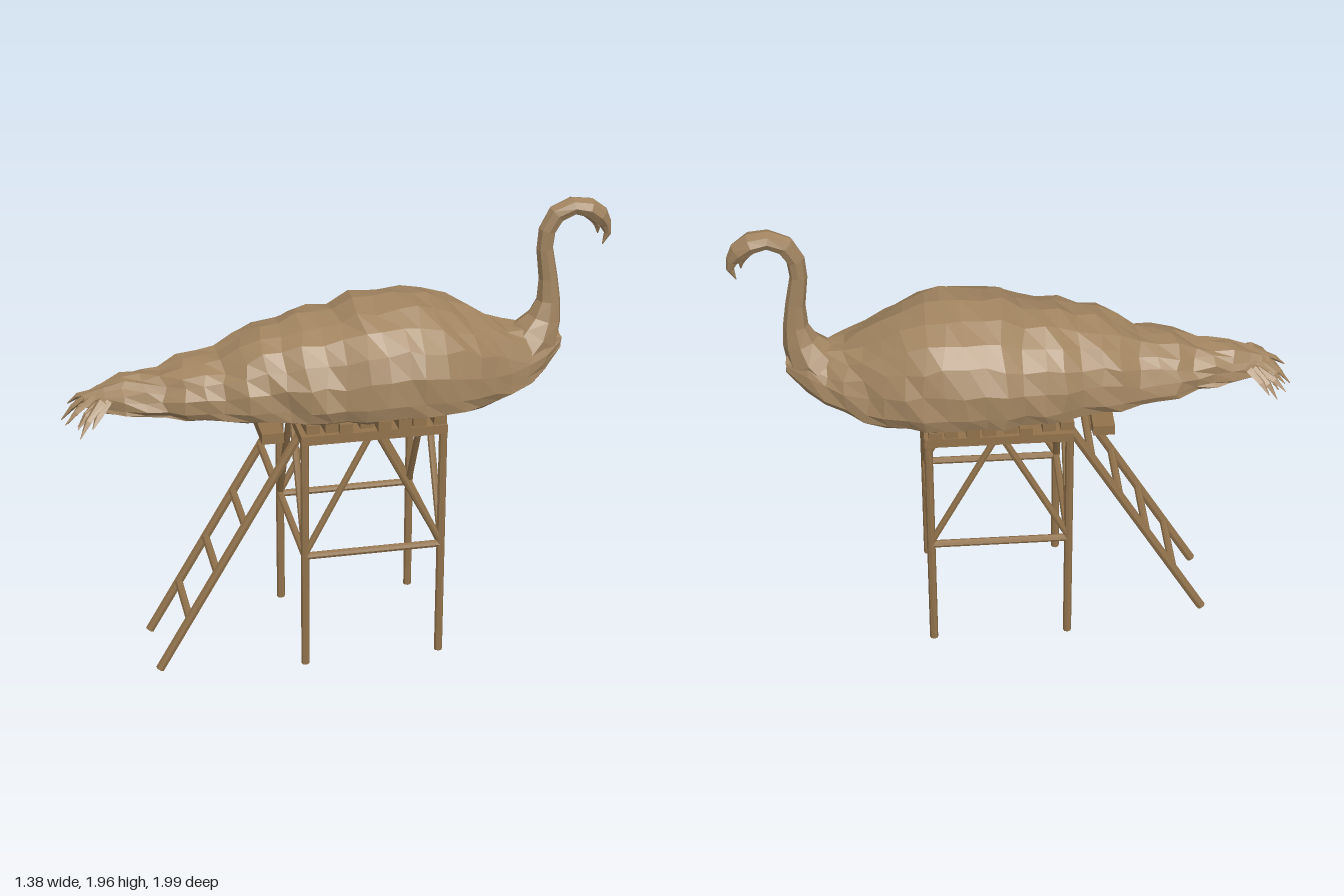
import * as THREE from 'three';

const V = (x, y, z) => new THREE.Vector3(x, y, z);
const material = (name, color) => {
  const m = new THREE.MeshStandardMaterial({ color, flatShading: true });
  m.name = name;
  return m;
};

// Small seeded generator, -1..1
function seeded(seed) {
  return () => {
    seed = (seed * 16807) % 2147483647;
    return (seed / 2147483647) * 2 - 1;
  };
}

// Skin a list of equal-length rings and close both ends
function loft(rings) {
  const n = rings[0].length, pos = [], idx = [];
  rings.forEach(r => r.forEach(p => pos.push(p.x, p.y, p.z)));
  for (let r = 0; r < rings.length - 1; r++) {
    for (let i = 0; i < n; i++) {
      const a = r * n + i, b = r * n + (i + 1) % n;
      idx.push(a, b, b + n, a, b + n, a + n);
    }
  }
  const last = (rings.length - 1) * n;
  for (let i = 1; i < n - 1; i++) {
    idx.push(0, i + 1, i);
    idx.push(last, last + i, last + i + 1);
  }
  const g = new THREE.BufferGeometry();
  g.setAttribute('position', new THREE.Float32BufferAttribute(pos, 3));
  g.setIndex(idx);
  g.computeVertexNormals();
  return g;
}

// Tapered bent limb in the y/z plane; stations are [z, y, thickness, halfWidth]
function limb(stations, sides) {
  const X = V(1, 0, 0);
  const pts = stations.map(s => V(0, s[1], s[0]));
  return loft(stations.map((s, k) => {
    const T = pts[Math.min(k + 1, pts.length - 1)].clone().sub(pts[Math.max(k - 1, 0)]).normalize();
    const N = T.cross(X);
    return Array.from({ length: sides }, (_, i) => {
      const a = (i / sides) * Math.PI * 2;
      return pts[k].clone().addScaledVector(X, Math.cos(a) * s[3]).addScaledVector(N, Math.sin(a) * s[2]);
    });
  }));
}

// Interpolate a table of rows by its first column
function sample(table, t) {
  let k = 0;
  while (k < table.length - 2 && table[k + 1][0] < t) k++;
  const a = table[k], b = table[k + 1], u = (t - a[0]) / (b[0] - a[0]);
  return a.map((v, i) => v + (b[i] - v) * u);
}

export function createModel() {
  const root = new THREE.Group();
  root.name = 'birdHide';
  const model = new THREE.Group();
  model.name = 'birdOnTower';
  model.position.set(0.1, 0, -0.1);
  model.rotation.y = -0.582;
  root.add(model);

  const plumage = material('plumage brown', 0xa18460);
  const wood = material('timber brown', 0x92734c);
  const rnd = seeded(4711);

  const add = (name, geo, mat, parent = model) => {
    const m = new THREE.Mesh(geo, mat);
    m.name = name;
    parent.add(m);
    return m;
  };
  const pole = (name, a, b, r) => {
    const m = add(name, new THREE.CylinderGeometry(r, r, a.distanceTo(b), 8), wood);
    m.position.copy(a).lerp(b, 0.5);
    m.quaternion.setFromUnitVectors(V(0, 1, 0), b.clone().sub(a).normalize());
    return m;
  };

  // Body, breast to tail: [z, halfWidth, bottom, top]
  const profile = [
    [-0.86, 0.05, 1.30, 1.37], [-0.78, 0.105, 1.22, 1.40], [-0.70, 0.15, 1.17, 1.405],
    [-0.60, 0.20, 1.135, 1.42], [-0.46, 0.285, 1.12, 1.50], [-0.34, 0.335, 1.12, 1.565],
    [-0.20, 0.36, 1.12, 1.60], [0, 0.35, 1.12, 1.575], [0.12, 0.335, 1.12, 1.545],
    [0.36, 0.285, 1.125, 1.50], [0.44, 0.265, 1.13, 1.48], [0.60, 0.22, 1.14, 1.40],
    [0.84, 0.15, 1.16, 1.335], [1.00, 0.10, 1.17, 1.305], [1.10, 0.065, 1.18, 1.28], [1.16, 0.03, 1.20, 1.25],
  ];
  const rings = [], sides = 20, count = 26;
  for (let k = 0; k < count; k++) {
    const z = -0.86 + (2.02 * k) / (count - 1);
    const [, w, lo, hi] = sample(profile, z);
    const wide = lo + (hi - lo) * 0.24;
    // overlapping feather rows toward the tail
    const step = z > -0.1 && z < 1.05 ? (k % 3 - 1) * 0.011 : 0;
    rings.push(Array.from({ length: sides }, (_, i) => {
      const a = (i / sides) * Math.PI * 2, c = Math.cos(a), s = Math.sin(a);
      const j = Math.min(0.011, w * 0.08);
      const x = Math.sign(c) * Math.abs(c) ** 0.88 * (w + step);
      const y = s >= 0 ? wide + (hi - wide + step) * s : wide - (wide - lo) * Math.abs(s) ** 0.55;
      return V(x + rnd() * j, y + (s > 0.05 ? rnd() * j : 0), z + rnd() * j * 1.4);
    }));
  }
  add('body', loft(rings), plumage);

  // Neck and head: one bent limb ending in a hooked beak
  add('neckAndHead', limb([
    [-0.60, 1.26, 0.10, 0.13], [-0.70, 1.295, 0.105, 0.13], [-0.765, 1.36, 0.105, 0.10],
    [-0.795, 1.43, 0.075, 0.07], [-0.81, 1.51, 0.052, 0.05], [-0.805, 1.61, 0.041, 0.04],
    [-0.785, 1.74, 0.036, 0.035], [-0.792, 1.82, 0.038, 0.036], [-0.83, 1.888, 0.042, 0.04],
    [-0.90, 1.92, 0.038, 0.048], [-0.965, 1.908, 0.042, 0.055], [-1.015, 1.87, 0.042, 0.046],
    [-1.045, 1.83, 0.026, 0.028], [-1.055, 1.79, 0.016, 0.018], [-1.035, 1.74, 0.002, 0.002],
  ], 8), plumage);
  add('lowerBeak', limb([
    [-0.985, 1.865, 0.02, 0.03], [-1.01, 1.825, 0.014, 0.02], [-1.012, 1.79, 0.002, 0.002],
  ], 6), plumage);

  // Tail feathers: a drooping fan of pointed plumes
  const fan = new THREE.Group();
  fan.name = 'tailFeathers';
  fan.position.set(0, 1.225, 1.0);
  model.add(fan);
  const plumes = 13;
  for (let i = 0; i < plumes; i++) {
    const t = (i / (plumes - 1)) * 2 - 1;
    const len = 0.215 + 0.02 * (i % 3);
    const drop = 0.075 + 0.015 * (i % 2) + rnd() * 0.012;
    const f = add('tailFeather', limb([
      [0, 0, 0.025, 0.02], [len * 0.5, 0.012 + rnd() * 0.015, 0.014, 0.024],
      [len * 0.8, -drop * 0.4, 0.012, 0.018], [len, -drop, 0.002, 0.002],
    ], 4), plumage, fan);
    f.rotation.y = t * 0.85;
  }

  // Tower: legs, mid rails and inverted-V braces on each side
  const h = 0.292, mid = 0.555, top = 1.08;
  const corners = [[h, h], [h, -h], [-h, -h], [-h, h]];
  corners.forEach(([x, z], i) => {
    const [x2, z2] = corners[(i + 1) % 4];
    pole('towerLeg', V(x, 0.035, z), V(x, top, z), 0.018);
    pole('midRail', V(x, mid, z), V(x2, mid, z2), 0.016);
    const at = u => [x + (x2 - x) * u, z + (z2 - z) * u];
    const [ax, az] = at(0.46), [bx, bz] = at(0.54);
    pole('brace', V(x, mid + 0.01, z), V(ax, top, az), 0.015);
    pole('brace', V(x2, mid + 0.01, z2), V(bx, top, bz), 0.015);
  });

  // Platform and the uneven deck boards beneath the body
  add('platform', new THREE.BoxGeometry(0.615, 0.04, 0.615), wood).position.set(0, 1.095, 0);
  for (let i = 0; i < 8; i++) {
    const board = add('deckBoard', new THREE.BoxGeometry(0.6 + rnd() * 0.04, 0.045, 0.055), wood);
    board.position.set(rnd() * 0.015, 1.135 + rnd() * 0.008, -0.27 + i * 0.077);
    board.rotation.y = rnd() * 0.06;
  }
  const beam = add('crossBeam', new THREE.BoxGeometry(0.66, 0.045, 0.09), wood);
  beam.position.set(0.005, 1.135, 0.43);

  // Ladder leaning on the tail side
  const foot = s => V(0.012 + s * 0.168, 0.012, 0.905);
  const head = s => V(0.005 + s * 0.16, 1.09, 0.272);
  [-1, 1].forEach(s => pole('ladderRail', foot(s), head(s), 0.02));
  [0.24, 0.45, 0.66, 0.87].forEach(y => {
    const u = (y - 0.012) / 1.078;
    pole('ladderRung', foot(-1).lerp(head(-1), u), foot(1).lerp(head(1), u), 0.017);
  });

  return root;
}
